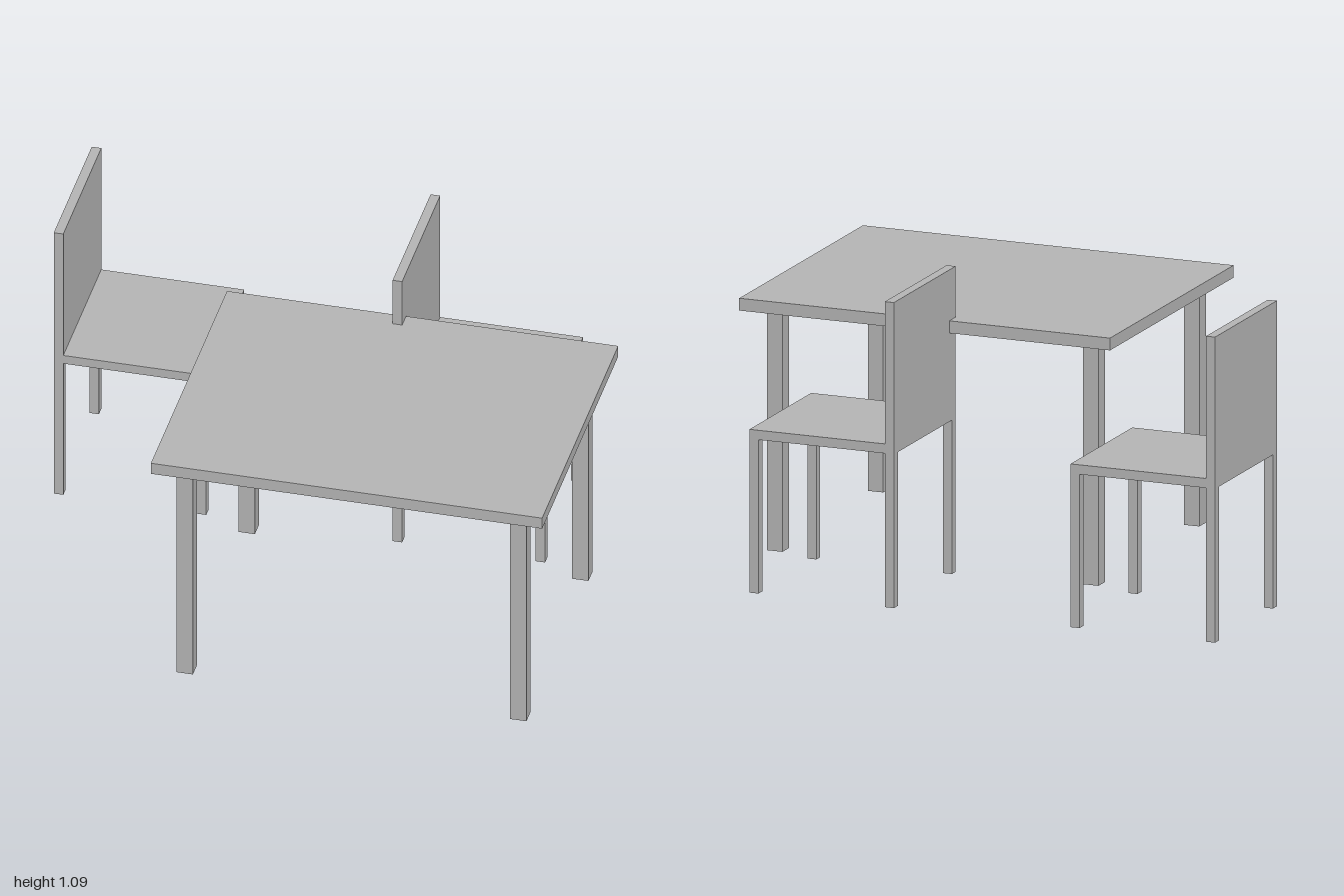
import * as THREE from 'three';

const grey = new THREE.MeshStandardMaterial({ color: 0xb4b4b4 });
grey.name = 'plain grey';

// Box given by its minimum and maximum corners
function slab(parent, name, [x0, y0, z0], [x1, y1, z1]) {
  const mesh = new THREE.Mesh(new THREE.BoxGeometry(x1 - x0, y1 - y0, z1 - z0), grey);
  mesh.position.set((x0 + x1) / 2, (y0 + y1) / 2, (z0 + z1) / 2);
  mesh.name = name;
  parent.add(mesh);
}

// Four square legs of the given thickness, centred on the origin
function legs(parent, name, halfX, halfZ, size, height) {
  for (const sx of [-1, 1]) for (const sz of [-1, 1]) {
    const x = sx * (halfX - size / 2), z = sz * (halfZ - size / 2), h = size / 2;
    slab(parent, name, [x - h, 0, z - h], [x + h, height, z + h]);
  }
}

function createTable() {
  const table = new THREE.Group();
  table.name = 'table';
  slab(table, 'tableTop', [-0.698, 0.867, -0.545], [0.698, 0.911, 0.545]);
  legs(table, 'tableLeg', 0.624, 0.473, 0.058, 0.867);
  return table;
}

// Chair facing +x, with its back along the -x edge
function createChair() {
  const chair = new THREE.Group();
  chair.name = 'chair';
  const half = 0.272, t = 0.034;
  slab(chair, 'seat', [-half, 0.55, -half], [half, 0.584, half]);
  slab(chair, 'backrest', [-half, 0.584, -half], [-half + t, 1.093, half]);
  legs(chair, 'chairLeg', half, half, t, 0.55);
  return chair;
}

export function createModel() {
  const model = new THREE.Group();
  model.name = 'diningSet';

  const table = createTable();
  table.position.set(0.302, 0, 0.244);
  model.add(table);

  // Two matching chairs side by side
  for (const x of [-0.728, 0.481]) {
    const chair = createChair();
    chair.position.set(x, 0, -0.517);
    model.add(chair);
  }
  return model;
}
